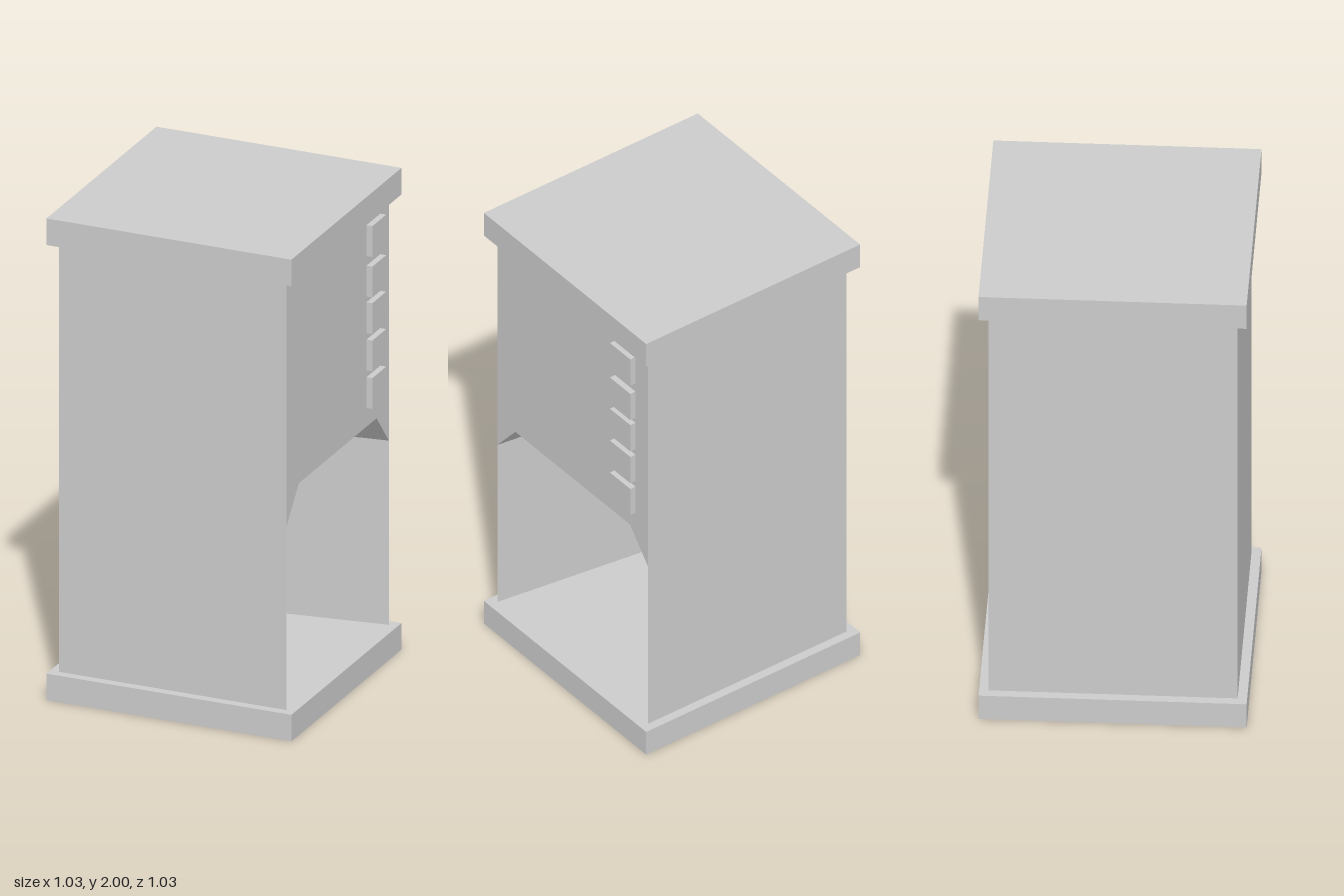
import * as THREE from 'three';

const grey = new THREE.MeshStandardMaterial({ color: 0xcccccc, flatShading: true });

function addBox(group, name, size, position) {
  const mesh = new THREE.Mesh(new THREE.BoxGeometry(...size), grey);
  mesh.name = name;
  mesh.position.set(...position);
  group.add(mesh);
}

// Flat-faced mesh from convex polygons with counter-clockwise corners
function addFaces(group, name, faces) {
  const corners = [];
  for (const f of faces)
    for (let i = 1; i < f.length - 1; i++) corners.push(...f[0], ...f[i], ...f[i + 1]);
  const geometry = new THREE.BufferGeometry();
  geometry.setAttribute('position', new THREE.Float32BufferAttribute(corners, 3));
  geometry.computeVertexNormals();
  const mesh = new THREE.Mesh(geometry, grey);
  mesh.name = name;
  group.add(mesh);
}

export function createModel() {
  const model = new THREE.Group();
  model.name = 'cabinet';

  const out = 0.48;                      // half width of the body
  const floor = 0.11, top = 1.89;        // body between the two plates
  const back = -0.36, inner = 0.365;     // niche back wall and its half width
  const spring = 0.875, crown = 1.01;    // niche height at the back and at the opening

  // Base and top plates
  addBox(model, 'basePlate', [1.034, floor, 1.034], [0, floor / 2, 0]);
  addBox(model, 'topPlate', [1.034, 2 - top, 1.034], [0, (2 + top) / 2, 0]);

  // Three plain outer walls
  const walls = [[1, 1], [-1, 1], [-1, -1], [1, -1]].map(([x, z]) => [x * out, z * out]);
  const outer = [];
  for (let i = 0; i < 3; i++) {
    const [ax, az] = walls[i], [bx, bz] = walls[i + 1];
    outer.push([[bx, floor, bz], [ax, floor, az], [ax, top, az], [bx, top, bz]]);
  }

  // Left wall above the chamfered opening
  const lip = [out, crown, -inner], topFront = [out, top, out];
  outer.push(
    [topFront, [out, spring, out], [out, crown, inner], lip],
    [lip, [out, spring, -out], [out, top, -out], topFront]
  );
  addFaces(model, 'bodyWalls', outer);

  // Niche tapering inwards: side walls with corner facets, mirrored in z
  const niche = [];
  for (const s of [1, -1]) {
    const side = [[out, floor, s * out], [back, floor, s * inner], [back, spring, s * inner], [out, spring, s * out]];
    const facet = [[out, spring, s * out], [back, spring, s * inner], [out, crown, s * inner]];
    for (const face of [side, facet]) niche.push(s > 0 ? face : face.reverse());
  }
  // Sloping ceiling and back wall
  niche.push(
    [[out, crown, inner], [back, spring, inner], [back, spring, -inner], [out, crown, -inner]],
    [[back, floor, inner], [back, floor, -inner], [back, spring, -inner], [back, spring, inner]]
  );
  addFaces(model, 'niche', niche);

  // Column of buttons
  [1.152, 1.308, 1.463, 1.615, 1.783].forEach((y, i) =>
    addBox(model, `button${i + 1}`, [0.03, 0.128, 0.13], [0.49, y, -0.335]));

  return model;
}
